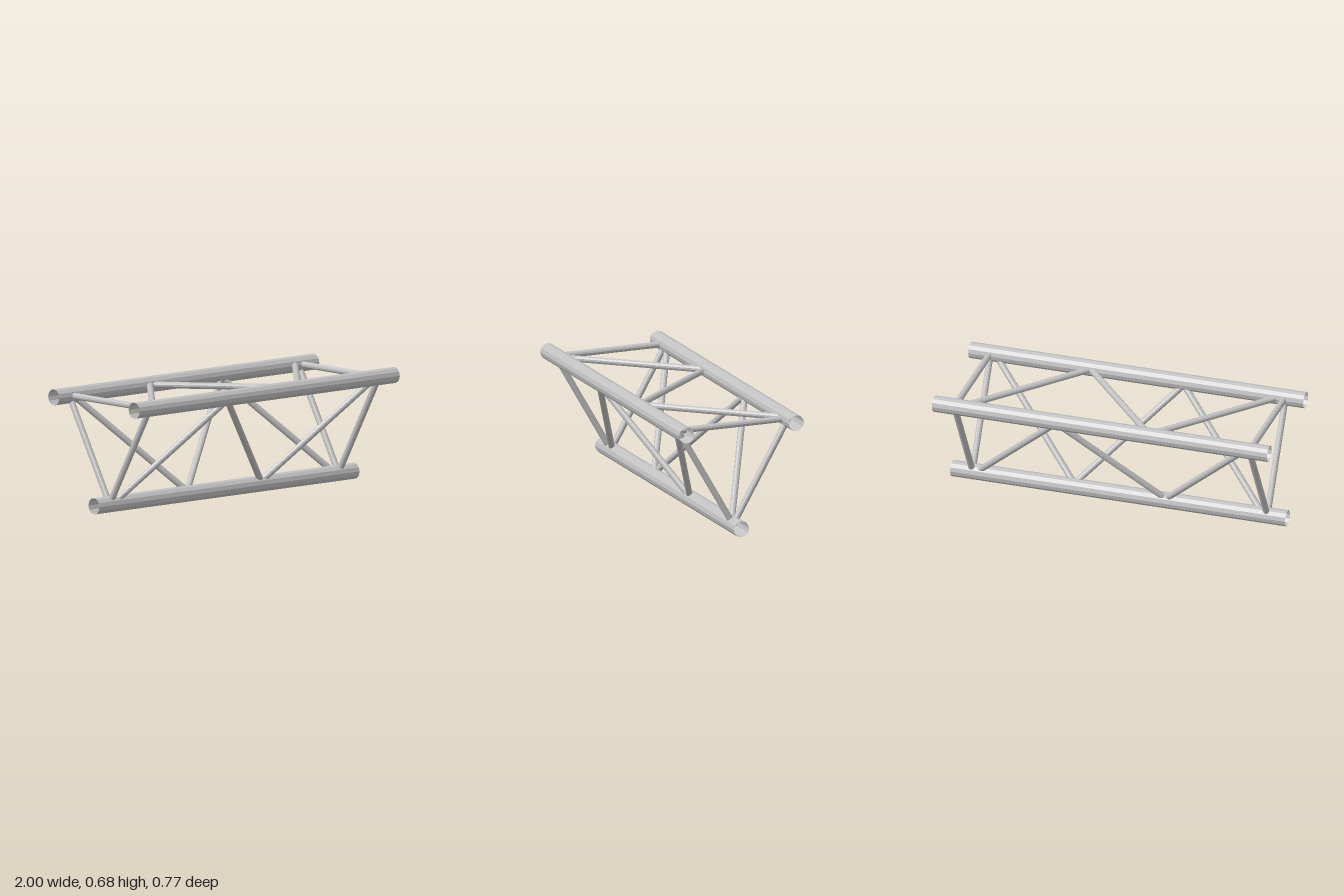
import * as THREE from 'three';

export function createModel() {
  const group = new THREE.Group();
  const metal = new THREE.MeshStandardMaterial({ color: 0xc2c2c2, flatShading: true, side: THREE.DoubleSide });
  metal.name = 'aluminium';

  const chordRadius = 0.047;
  const strutRadius = 0.0185;

  // Chord axes as [y, z], in order around the triangle
  const chords = [
    { name: 'frontTop', y: 0.636, z: 0.34 },
    { name: 'rearTop', y: 0.636, z: -0.34 },
    { name: 'bottom', y: chordRadius, z: 0 },
  ];

  // Straight tube between two points
  function tube(name, a, b, radius, open) {
    const dir = b.clone().sub(a);
    const geometry = new THREE.CylinderGeometry(radius, radius, dir.length(), 12, 1, open);
    const mesh = new THREE.Mesh(geometry, metal);
    mesh.name = name;
    mesh.position.copy(a).add(b).multiplyScalar(0.5);
    mesh.quaternion.setFromUnitVectors(new THREE.Vector3(0, 1, 0), dir.normalize());
    group.add(mesh);
  }
  const at = (chord, x) => new THREE.Vector3(x, chord.y, chord.z);

  // Long open main tubes
  for (const c of chords) tube(c.name + 'Chord', at(c, -1), at(c, 1), chordRadius, true);

  // Bracing on each of the three faces
  chords.forEach((from, i) => {
    const to = chords[(i + 1) % 3];
    for (const x of [-0.88, 0.88]) tube('endStrut', at(from, x), at(to, x), strutRadius, false);
    // Zigzag diagonals
    tube('diagonalStrut', at(from, -0.855), at(to, -0.262), strutRadius, false);
    tube('diagonalStrut', at(to, -0.29), at(from, 0.29), strutRadius, false);
    tube('diagonalStrut', at(from, 0.262), at(to, 0.855), strutRadius, false);
  });

  return group;
}
